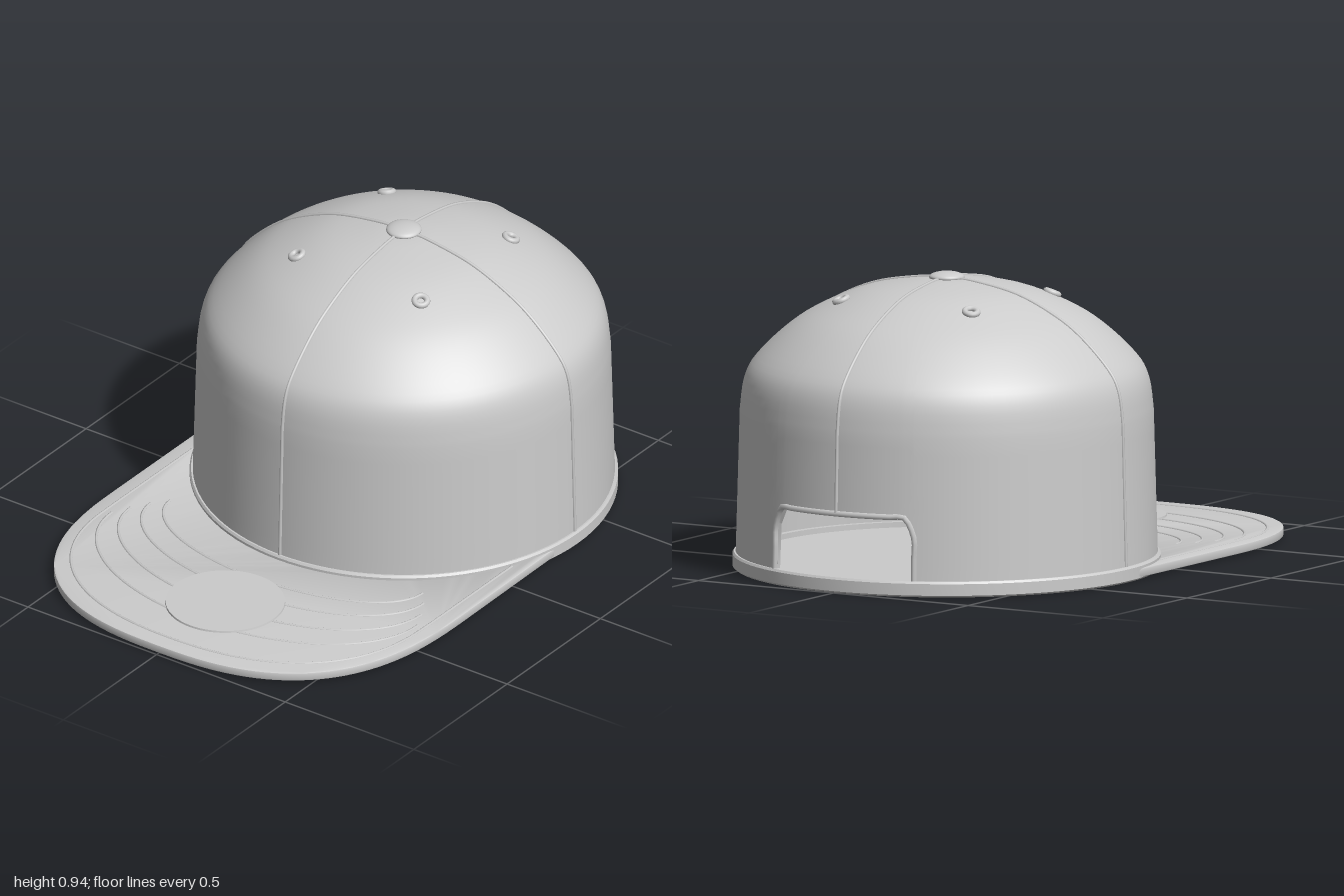
import * as THREE from 'three';
import { toCreasedNormals } from 'three/addons/utils/BufferGeometryUtils.js';

const CZ = -0.325; // centre of the crown in z
const mat = new THREE.MeshStandardMaterial({ color: 0xcccccc });
const matDouble = new THREE.MeshStandardMaterial({ color: 0xcccccc, side: THREE.DoubleSide });

// crown profile from the top down to the straight wall: (radius, height)
const dome = new THREE.SplineCurve([
  [0.02, 0.918], [0.1, 0.914], [0.26, 0.885], [0.4, 0.828], [0.5, 0.765],
  [0.6, 0.67], [0.638, 0.6], [0.652, 0.5],
].map(([r, y]) => new THREE.Vector2(r, y)));
const wallRadius = (y) => 0.666 - 0.014 * (y / 0.5);

const EDGE = 0.4, SHOULDER = 0.35; // half angles of the back opening
// height of the crown's lower edge at a given angle from the back
function lowerEdge(d) {
  if (d > EDGE - 0.002) return 0.04;
  return THREE.MathUtils.lerp(0.25, 0.19, THREE.MathUtils.clamp((d - SHOULDER) / (EDGE - SHOULDER), 0, 1));
}

// profile as points, ending at height yEnd
function profile(yEnd) {
  const pts = dome.getPoints(28);
  for (let k = 1; k <= 8; k++) {
    const y = THREE.MathUtils.lerp(0.5, yEnd, k / 8);
    pts.push(new THREE.Vector2(wallRadius(y), y));
  }
  return pts;
}

const onCrown = (a, r, y) => new THREE.Vector3(r * Math.sin(a), y, CZ + r * Math.cos(a));

// thick shell with the back opening cut into its lower edge
function crownGeometry() {
  const angles = [];
  for (let i = 0; i <= 96; i++) angles.push((i / 96) * Math.PI * 2);
  for (const d of [SHOULDER, EDGE - 0.004, EDGE]) angles.push(Math.PI - d, Math.PI + d);
  angles.sort((a, b) => a - b);
  const pos = [], idx = [];
  let rows = 0;
  for (const a of angles) {
    const outer = profile(lowerEdge(Math.abs(a - Math.PI)));
    const inner = outer.map((p) => new THREE.Vector2(p.x * 0.965, p.y * 0.97)).reverse();
    const section = [...outer, ...inner];
    rows = section.length;
    for (const p of section) pos.push(...onCrown(a, p.x, p.y).toArray());
  }
  for (let i = 0; i < angles.length - 1; i++) {
    for (let j = 0; j < rows - 1; j++) {
      const A = i * rows + j, B = A + 1, C = A + rows, D = C + 1;
      idx.push(A, B, C, C, B, D);
    }
  }
  const g = new THREE.BufferGeometry();
  g.setAttribute('position', new THREE.Float32BufferAttribute(pos, 3));
  g.setIndex(idx);
  return toCreasedNormals(g, 0.6);
}

// rounded front outline, from +x round to -x: half width a, front zf, start z0
function frontCurve(a, zf, z0, n, steps = 64) {
  const pts = [];
  for (let i = 0; i <= steps; i++) {
    const t = (i / steps) * Math.PI, c = Math.cos(t), s = Math.sin(t);
    pts.push(new THREE.Vector2(a * Math.sign(c) * Math.abs(c) ** (2 / n), z0 + (zf - z0) * Math.abs(s) ** (2 / n)));
  }
  return pts;
}

export function createModel() {
  const model = new THREE.Group();
  const add = (name, geometry, material = mat) => {
    const m = new THREE.Mesh(geometry, material);
    m.name = name;
    model.add(m);
    return m;
  };
  const tube = (name, pts, radius) =>
    add(name, new THREE.TubeGeometry(new THREE.CatmullRomCurve3(pts, false, 'centripetal'), pts.length * 2, radius, 6));

  add('crown', crownGeometry(), matDouble);

  // four seams between the panels
  for (let k = 0; k < 4; k++) {
    const pts = profile(k === 2 ? 0.25 : 0.04).map((p) => onCrown((k * Math.PI) / 2, p.x, p.y));
    tube('seam', pts, 0.006);
  }

  // piping round the back opening
  const rim = [[-EDGE, 0.05], [-EDGE, 0.12], [-EDGE, 0.185]];
  for (let i = -6; i <= 6; i++) rim.push([(i / 6) * SHOULDER, 0.25]);
  rim.push([EDGE, 0.185], [EDGE, 0.12], [EDGE, 0.05]);
  tube('openingTrim', rim.map(([d, y]) => onCrown(Math.PI + d, wallRadius(y) - 0.003, y)), 0.01);

  // button on top
  const button = add('topButton', new THREE.SphereGeometry(0.056, 32, 16));
  button.scale.y = 0.32;
  button.position.set(0, 0.921, CZ);

  // vent eyelets, one on each panel
  for (let k = 0; k < 4; k++) {
    const a = Math.PI / 4 + (k * Math.PI) / 2;
    const eyelet = add('eyelet', new THREE.TorusGeometry(0.02, 0.01, 10, 24));
    eyelet.position.copy(onCrown(a, 0.341, 0.859));
    const normal = new THREE.Vector3(0.39 * Math.sin(a), 1, 0.39 * Math.cos(a)).normalize();
    eyelet.quaternion.setFromUnitVectors(new THREE.Vector3(0, 0, 1), normal);
  }

  // sweatband ring at the base, and the closed floor inside it
  const ring = [[0.62, 0], [0.668, 0], [0.675, 0.006], [0.675, 0.043], [0.67, 0.05], [0.62, 0.05], [0.62, 0]];
  const band = add('baseBand', toCreasedNormals(
    new THREE.LatheGeometry(ring.map(([r, y]) => new THREE.Vector2(r, y)), 96), 0.6));
  band.position.z = CZ;
  const floor = add('floor', new THREE.CylinderGeometry(0.635, 0.635, 0.01, 96));
  floor.position.set(0, 0.028, CZ);

  // flat brim, with a hole under the crown
  const outline = frontCurve(0.667, 0.996, 0.3, 2.6).map((p) => new THREE.Vector2(p.x, -p.y));
  const shape = new THREE.Shape(outline);
  shape.lineTo(-0.667, -CZ);
  shape.absarc(0, -CZ, 0.66, Math.PI, 0, true);
  shape.closePath();
  const hole = new THREE.Path();
  hole.absarc(0, -CZ, 0.64, 0, Math.PI * 2, false);
  shape.holes.push(hole);
  const brim = new THREE.ExtrudeGeometry(shape, {
    depth: 0.018, bevelThickness: 0.005, bevelSize: 0.004, bevelSegments: 2, curveSegments: 64,
  });
  brim.rotateX(-Math.PI / 2).translate(0, 0.012, 0);
  add('brim', toCreasedNormals(brim, 0.5));

  // stitch rows on the brim: half width, front z, start z
  const rows = [
    [0.62, 0.94, 0.42, 2.3], [0.595, 0.8, 0.42, 2], [0.565, 0.69, 0.36, 2], [0.53, 0.58, 0.3, 2], [0.49, 0.485, 0.25, 2],
  ];
  rows.forEach(([a, zf, z0, n], i) => {
    const pts = frontCurve(a, zf, z0, n, 48);
    if (i === 0) {
      pts.unshift(new THREE.Vector2(a, -0.05));
      pts.push(new THREE.Vector2(-a, -0.05));
    }
    tube('brimStitch', pts.map((p) => new THREE.Vector3(p.x, 0.034, p.y)), 0.005);
  });

  // smooth round patch on the brim
  const patch = add('brimPatch', new THREE.CylinderGeometry(0.188, 0.19, 0.01, 64));
  patch.position.set(0.02, 0.036, 0.66);

  return model;
}
